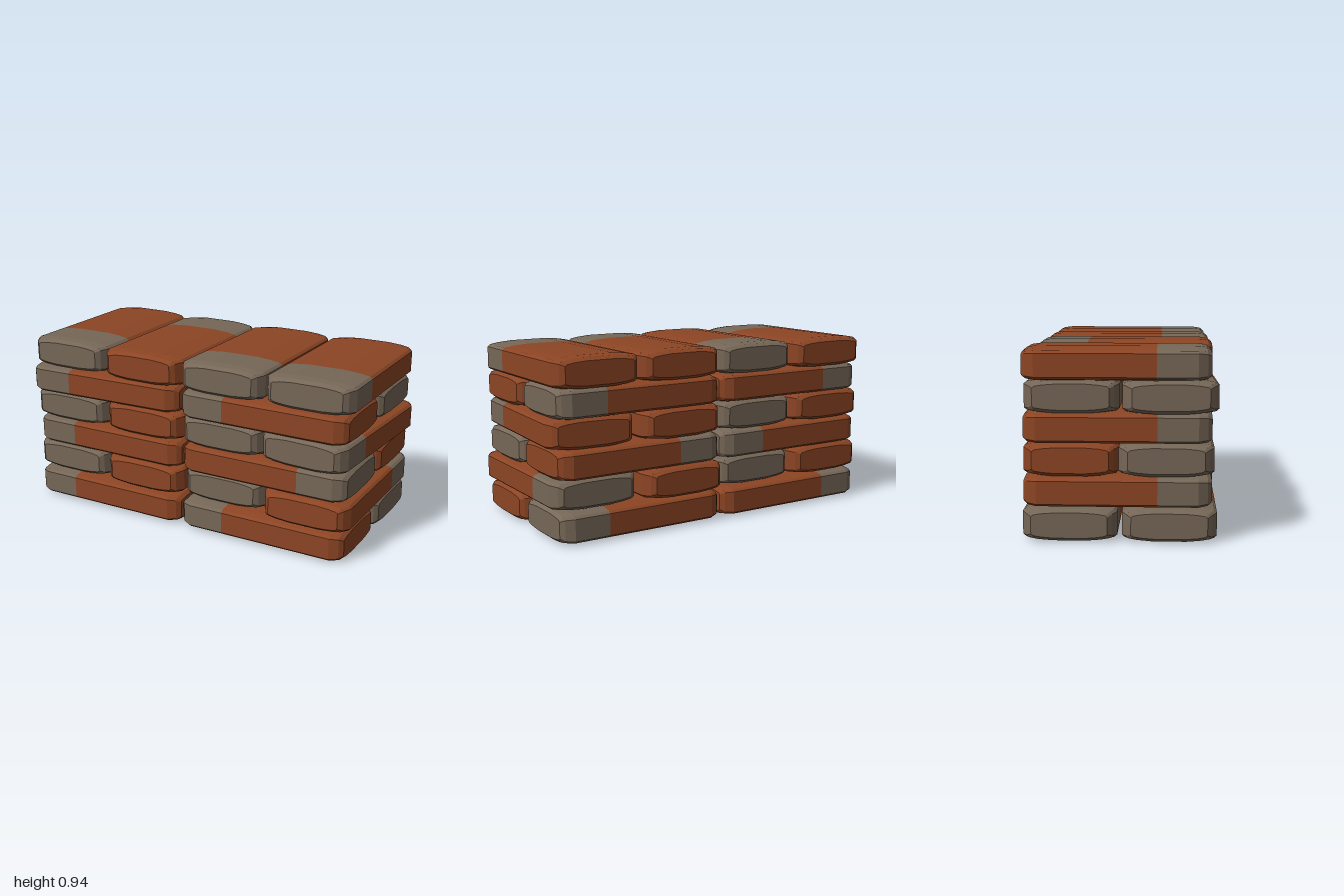
import * as THREE from 'three';

const clay = new THREE.MeshStandardMaterial({ color: 0x8c4524, flatShading: true });
clay.name = 'clay red';
const stone = new THREE.MeshStandardMaterial({ color: 0x766757, flatShading: true });
stone.name = 'grey brown';

// One quarter of the block's cross-section (fractions of half width, half height), mirrored to a closed loop
const quarter = [[1, 0.68], [0.94, 0.82], [0.74, 0.92], [0.4, 1]];
const left = quarter.slice().reverse().map(([z, y]) => [-z, y]);
const upper = [...quarter, ...left];
const section = [...upper, ...upper.map(([z, y]) => [-z, -y])];

// Softly bevelled block along x; its +x end is grey
function blockGeometry(length, width, height) {
  const e = length / 2;
  const stations = [
    [-e, 0.8, 0.74], [-e + 0.02, 0.9, 0.93], [-e + 0.065, 1, 1],
    [e - 0.26, 1, 1],
    [e - 0.065, 1, 1], [e - 0.02, 0.9, 0.93], [e, 0.8, 0.74],
  ];
  const n = section.length;
  const pos = [];
  const index = [];
  for (const [x, w, h] of stations) {
    for (const [z, y] of section) pos.push(x, y * h * height / 2, z * w * width / 2);
  }
  const last = (stations.length - 1) * n;
  for (let j = 1; j < n - 1; j++) index.push(0, j, j + 1);
  let split = 0;
  for (let i = 0; i < stations.length - 1; i++) {
    if (i === 3) split = index.length;
    for (let j = 0; j < n; j++) {
      const k = (j + 1) % n;
      const a = i * n + j, b = a + n, c = (i + 1) * n + k, d = i * n + k;
      index.push(a, b, c, a, c, d);
    }
  }
  for (let j = 1; j < n - 1; j++) index.push(last, last + j + 1, last + j);
  const g = new THREE.BufferGeometry();
  g.setAttribute('position', new THREE.Float32BufferAttribute(pos, 3));
  g.setIndex(index);
  g.addGroup(0, split, 0);
  g.addGroup(split, index.length - split, 1);
  g.computeVertexNormals();
  return g;
}

// Direction in which the grey end points
const H = Math.PI / 2;
const TURN = { right: 0, left: Math.PI, front: -H, back: H };

// Each block: x, z, grey end, extra turn
const layers = [
  { y: 0.088, blocks: [
    [-0.487, 0.25, 'left', 0], [0.473, 0.25, 'left', 0],
    [-0.487, -0.232, 'left', 0], [0.473, -0.23, 'right', 0]] },
  { y: 0.252, blocks: [
    [-0.74, 0.0, 'front', 0], [-0.25, 0.02, 'back', 0],
    [0.23, -0.025, 'front', 0], [0.73, 0.03, 'back', 0]] },
  { y: 0.405, blocks: [
    [-0.487, 0.235, 'left', 0], [0.472, 0.235, 'right', 0],
    [-0.487, -0.225, 'right', 0], [0.473, -0.225, 'left', 0]] },
  { y: 0.56, blocks: [
    [-0.74, 0.0, 'front', 0], [-0.25, 0.01, 'back', 0],
    [0.23, 0.0, 'front', 0], [0.727, 0.018, 'front', -0.06]] },
  { y: 0.71, blocks: [
    [-0.507, 0.242, 'left', 0.03], [0.472, 0.245, 'left', 0],
    [-0.487, -0.22, 'left', 0], [0.473, -0.22, 'right', 0]] },
  { y: 0.862, blocks: [
    [-0.74, -0.005, 'front', 0], [-0.25, 0.015, 'back', 0],
    [0.23, 0.01, 'front', 0], [0.722, 0.003, 'front', 0]] },
];

export function createModel() {
  const model = new THREE.Group();
  model.name = 'blockStack';
  // Lengthwise layers alternate with crosswise layers
  const lengthwise = blockGeometry(0.945, 0.46, 0.168);
  const crosswise = blockGeometry(0.905, 0.48, 0.165);
  layers.forEach(({ y, blocks }, i) => {
    const layer = new THREE.Group();
    layer.name = `layer${i + 1}`;
    blocks.forEach(([x, z, end, turn], j) => {
      const block = new THREE.Mesh(i % 2 ? crosswise : lengthwise, [clay, stone]);
      block.name = `block${j + 1}`;
      block.position.set(x, y, z);
      block.rotation.y = TURN[end] + turn;
      layer.add(block);
    });
    model.add(layer);
  });
  return model;
}
